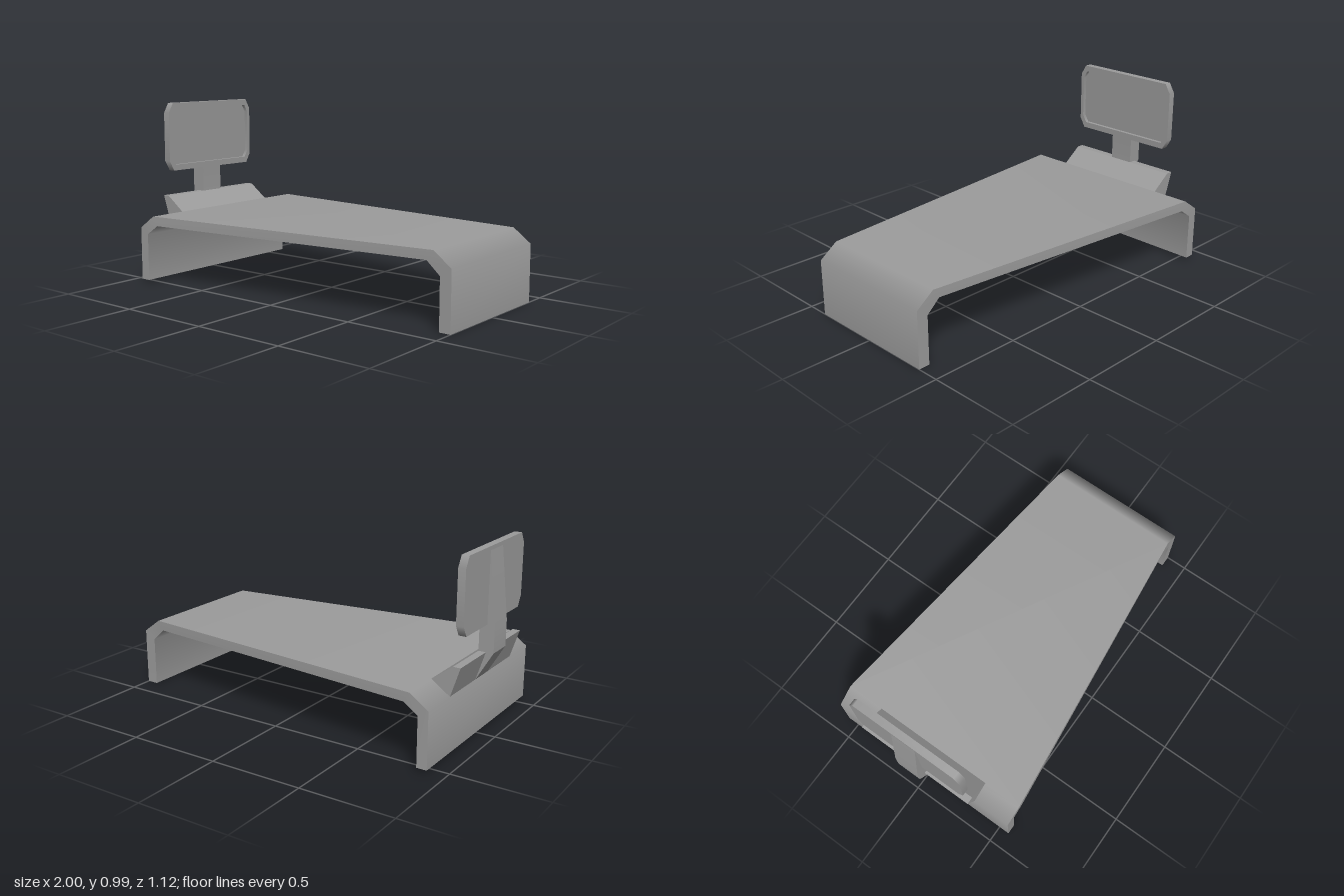
import * as THREE from 'three';

const makeShape = (pts) => new THREE.Shape(pts.map(([x, y]) => new THREE.Vector2(x, y)));

// Side profile in x/y, extruded symmetrically about z = 0
function profileGeometry(pts, depth) {
  const geo = new THREE.ExtrudeGeometry(makeShape(pts), { depth, bevelEnabled: false });
  return geo.translate(0, 0, -depth / 2);
}

// Rectangle with cut corners, centred on cy
function cutRect(w, h, cw, ch, cy) {
  const x = w / 2, y = h / 2;
  return [
    [-x + cw, -y], [x - cw, -y], [x, -y + ch], [x, y - ch],
    [x - cw, y], [-x + cw, y], [-x, y - ch], [-x, -y + ch],
  ].map(([a, b]) => [a, b + cy]);
}

// Extrude an outline drawn in z/y along +x, starting at x
function facingX(shape, depth, x) {
  return new THREE.ExtrudeGeometry(shape, { depth, bevelEnabled: false })
    .rotateY(Math.PI / 2).translate(x, 0, 0);
}

// Smooth across edges below the crease angle; larger faces weigh more,
// and each flat face counts once per corner
function smoothByArea(geo, crease) {
  const pos = geo.attributes.position;
  const points = [], faces = [], corners = new Map();
  const keyOf = (p) => p.toArray().map((v) => Math.round(v * 1e4)).join();
  for (let i = 0; i < pos.count; i++) points.push(new THREE.Vector3().fromBufferAttribute(pos, i));
  for (let i = 0; i < pos.count; i += 3) {
    const [a, b, c] = points.slice(i, i + 3);
    const normal = b.clone().sub(a).cross(c.clone().sub(a));
    const face = { area: normal.length(), normal: normal.normalize() };
    faces.push(face);
    for (const p of [a, b, c]) {
      const key = keyOf(p);
      if (!corners.has(key)) corners.set(key, []);
      const list = corners.get(key);
      if (!list.some((f) => f.normal.dot(face.normal) > 0.9999)) list.push(face);
    }
  }
  points.forEach((p, i) => {
    const own = faces[Math.floor(i / 3)].normal;
    const sum = new THREE.Vector3();
    for (const f of corners.get(keyOf(p))) {
      if (f.normal.dot(own) > Math.cos(crease)) sum.addScaledVector(f.normal, f.area);
    }
    sum.normalize();
    geo.attributes.normal.setXYZ(i, sum.x, sum.y, sum.z);
  });
  return geo;
}

export function createModel() {
  const group = new THREE.Group();
  const material = new THREE.MeshStandardMaterial({ color: 0x9c9c9c });
  const add = (name, geo, crease) => {
    const mesh = new THREE.Mesh(smoothByArea(geo, crease), material);
    mesh.name = name;
    group.add(mesh);
  };

  // Desk top and both end legs as one bent slab
  const desk = profileGeometry([
    [-0.912, 0.018], [-0.857, 0.018], [-0.857, 0.278], [-0.78, 0.331],
    [0.865, 0.331], [0.938, 0.265], [0.938, 0], [1, 0],
    [1, 0.308], [0.9, 0.382], [-0.81, 0.382], [-0.912, 0.31],
  ], 2);
  // Taper the width from the wide end to the narrow end
  const pos = desk.attributes.position;
  for (let i = 0; i < pos.count; i++) {
    const t = THREE.MathUtils.clamp((pos.getX(i) + 0.79) / 1.67, 0, 1);
    pos.setZ(i, pos.getZ(i) * THREE.MathUtils.lerp(0.561, 0.38, t));
  }
  add('desk', desk, 1.05);

  // Raised wedge along the wide end
  add('wedgeBracket', profileGeometry([
    [-0.91, 0.31], [-0.81, 0.382], [-0.92, 0.463], [-0.96, 0.463],
  ], 0.69), 0.5);

  // Upright arm, tapering up the back of the screen
  add('screenArm', profileGeometry([
    [-0.91, 0.31], [-0.92, 0.463], [-0.92, 0.606], [-0.95, 0.606],
    [-0.95, 0.97], [-0.96, 0.97], [-1, 0.6], [-1, 0.463],
  ], 0.14), 0.5);

  // Screen: frame with a recessed panel
  const inner = cutRect(0.62, 0.32, 0.025, 0.042, 0.797);
  const frame = makeShape(cutRect(0.66, 0.387, 0.032, 0.055, 0.797));
  frame.holes.push(makeShape(inner));
  add('screenFrame', facingX(frame, 0.04, -0.96), 1.1);
  add('screenPanel', facingX(makeShape(inner), 0.02, -0.96), 0.5);

  return group;
}
